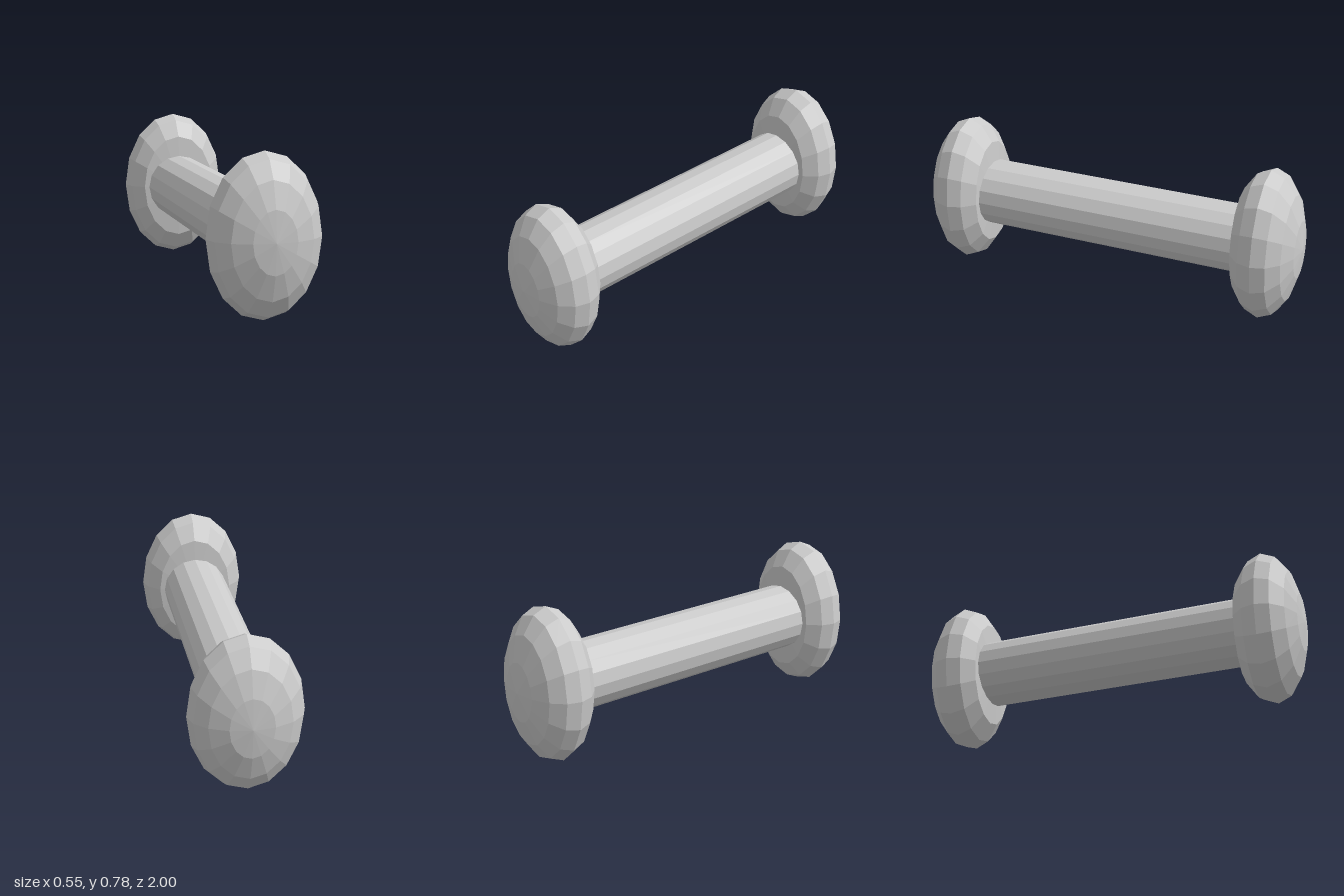
import * as THREE from 'three';

const CENTER_Y = 0.393;
const HEAD_Z = 0.82;
const INNER_Z = 0.682;

export function createModel() {
  const group = new THREE.Group();
  const material = new THREE.MeshStandardMaterial({ color: 0xcccccc, flatShading: true });

  // Faceted rod along z, its ends buried in the heads
  const rodGeometry = new THREE.CylinderGeometry(0.169, 0.169, 1.5, 16);
  rodGeometry.rotateX(Math.PI / 2);
  const rod = new THREE.Mesh(rodGeometry, material);
  rod.name = 'rod';
  rod.position.y = CENTER_Y;
  group.add(rod);

  // Flattened oval head with its poles on z and a flat inner face
  const headGeometry = new THREE.SphereGeometry(1, 16, 8);
  headGeometry.rotateX(Math.PI / 2);
  headGeometry.scale(0.275, 0.391, 0.18);
  const pos = headGeometry.attributes.position;
  for (let i = 0; i < pos.count; i++) {
    pos.setZ(i, Math.max(pos.getZ(i), INNER_Z - HEAD_Z));
  }
  headGeometry.computeVertexNormals();

  for (const [name, side] of [['frontHead', 1], ['backHead', -1]]) {
    const head = new THREE.Mesh(headGeometry, material);
    head.name = name;
    head.position.set(0, CENTER_Y, side * HEAD_Z);
    if (side < 0) head.rotation.y = Math.PI;
    group.add(head);
  }
  return group;
}
